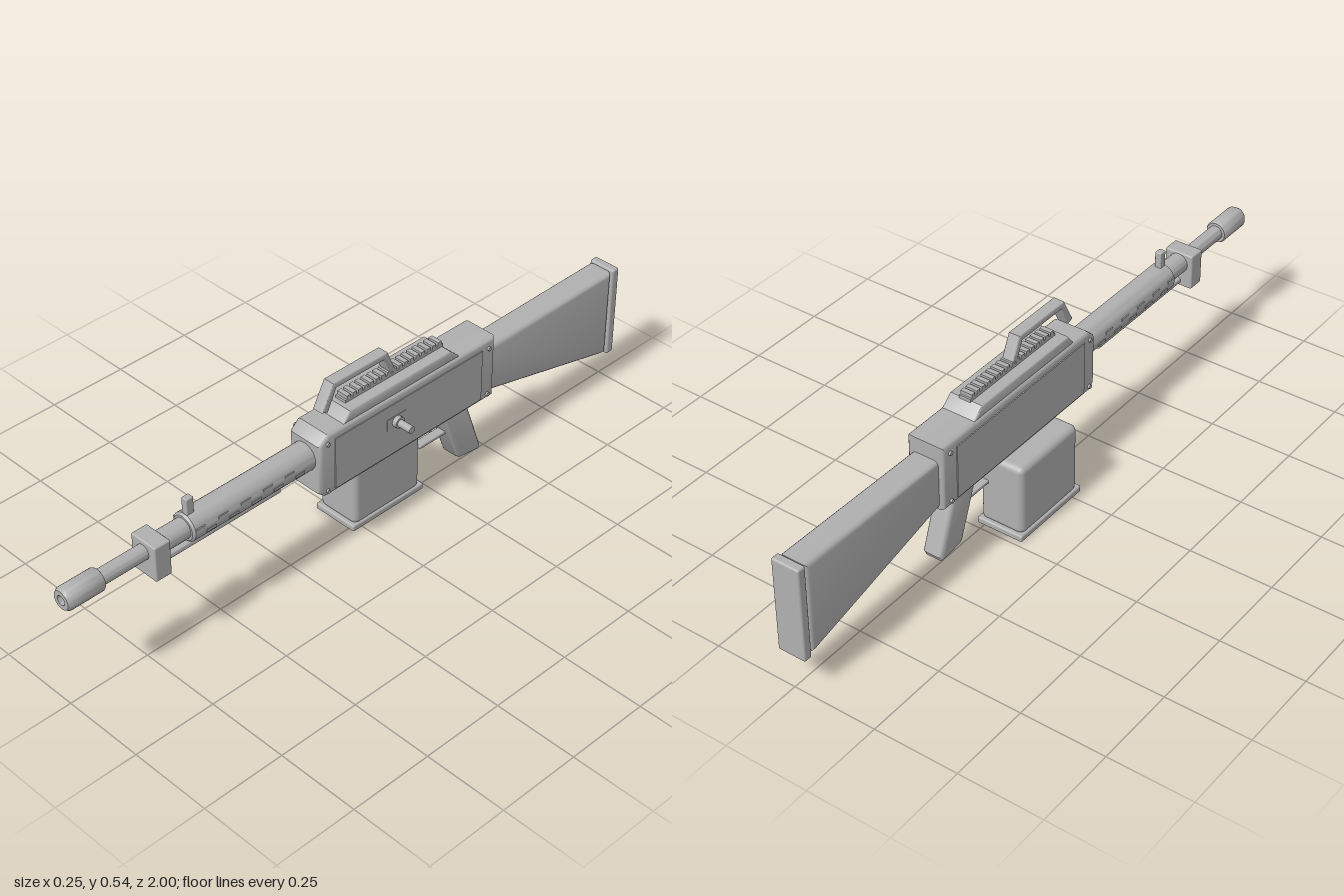
import * as THREE from 'three';
import { toCreasedNormals } from 'three/addons/utils/BufferGeometryUtils.js';
import { RoundedBoxGeometry } from 'three/addons/geometries/RoundedBoxGeometry.js';

const CX = 0.003; // x of the centre line
const AXIS = 0.342; // height of the barrel axis

export function createModel() {
  const model = new THREE.Group();
  model.name = 'model';
  const grey = new THREE.MeshStandardMaterial({ color: 0xb0b0b0 });
  grey.name = 'grey';

  const add = (name, geometry) => {
    const mesh = new THREE.Mesh(geometry, grey);
    mesh.name = name;
    model.add(mesh);
    return mesh;
  };

  // Box given by its limits, with optionally rounded edges
  const box = (name, [x0, x1], [y0, y1], [z0, z1], r = 0) => {
    const s = [x1 - x0, y1 - y0, z1 - z0];
    const g = r ? new RoundedBoxGeometry(...s, 3, r) : new THREE.BoxGeometry(...s);
    return add(name, g.translate((x0 + x1) / 2, (y0 + y1) / 2, (z0 + z1) / 2));
  };

  // Side outline of [z, y] points, extruded across x with bevelled edges
  const side = (name, points, width, bevel, x = CX) => {
    const shape = new THREE.Shape(points.map(p => new THREE.Vector2(...p)));
    const depth = width - 2 * bevel;
    const g = new THREE.ExtrudeGeometry(shape, {
      depth, bevelEnabled: bevel > 0, bevelSize: bevel, bevelThickness: bevel,
      bevelOffset: -bevel, bevelSegments: 3,
    });
    g.translate(0, 0, -depth / 2).rotateY(-Math.PI / 2).translate(x, 0, 0);
    return add(name, toCreasedNormals(g, 0.6));
  };

  // Turned part along z from [radius, z] points
  const turned = (name, points, y = AXIS) => {
    const g = new THREE.LatheGeometry(points.map(p => new THREE.Vector2(...p)), 32);
    return add(name, toCreasedNormals(g.rotateX(Math.PI / 2).translate(CX, y, 0), 0.6));
  };

  // Cylinder along x
  const pin = (name, r, x0, x1, y, z) => add(name, new THREE.CylinderGeometry(r, r, x1 - x0, 16)
    .rotateZ(Math.PI / 2).translate((x0 + x1) / 2, y, z));

  // Receiver with side plates and rivets
  side('receiver', [[0.165, 0.422], [-0.466, 0.422], [-0.466, 0.224], [0.175, 0.224],
    [0.195, 0.242], [0.195, 0.395]], 0.116, 0.013);
  for (const s of [-1, 1]) {
    const x = CX + s * 0.058;
    box('sidePlate', [x - 0.003, x + 0.003], [0.238, 0.4], [-0.412, 0.142]);
    for (const z of [0.168, -0.438]) for (const y of [0.243, 0.395])
      pin('rivet', 0.006, x - 0.006, x + 0.006, y, z);
  }

  // Charging knob on the left side
  box('knobPlate', [0.055, 0.066], [0.324, 0.36], [-0.116, -0.046]);
  pin('knobBase', 0.017, 0.06, 0.08, AXIS, -0.08);
  pin('knob', 0.011, 0.07, 0.123, AXIS, -0.08);

  // Top cover with toothed rail
  side('topCover', [[0.105, 0.42], [0.08, 0.452], [-0.295, 0.452], [-0.33, 0.42]], 0.104, 0.006);
  box('rail', [CX - 0.018, CX + 0.018], [0.45, 0.46], [-0.3, 0.065]);
  for (let i = 0; i < 17; i++) {
    const z = 0.052 - i * 0.0212;
    box('railTooth', [CX - 0.018, CX + 0.018], [0.458, 0.471], [z - 0.007, z + 0.007]);
  }

  // Bent carrying handle
  side('carryHandle', [[0.147, 0.46], [0.107, 0.535], [-0.09, 0.535], [-0.12, 0.468],
    [-0.101, 0.46], [-0.077, 0.516], [0.095, 0.516], [0.126, 0.453]], 0.036, 0.004);

  // Handguard, barrel and muzzle
  turned('handguard', [[0, 0.612], [0.036, 0.612], [0.042, 0.606], [0.042, 0.18], [0, 0.18]].reverse());
  turned('barrelCollar', [[0, 0.6], [0.03, 0.6], [0.03, 0.7], [0, 0.7]]);
  turned('barrel', [[0, 0.69], [0.022, 0.69], [0.022, 0.9], [0, 0.9]]);
  turned('muzzle', [[0, 0.885], [0.03, 0.885], [0.033, 0.89], [0.033, 0.99],
    [0.027, 1], [0.014, 1], [0.014, 0.97], [0, 0.97]]);

  // Cooling slots in two staggered rows on each side of the handguard
  for (const s of [-1, 1]) for (let row = 0; row < 2; row++) for (let i = 0; i < 5; i++) {
    const z = 0.25 + i * 0.076 + row * 0.036;
    const y = AXIS + (row ? 0.009 : -0.009);
    const x = CX + s * 0.041;
    box('handguardSlot', [x - 0.002, x + 0.002], [y - 0.004, y + 0.004], [z - 0.016, z + 0.016]);
  }

  // Gas block, gas tube and front sight
  box('gasBlock', [CX - 0.045, CX + 0.045], [0.268, 0.376], [0.69, 0.742], 0.005);
  turned('gasTube', [[0, 0.29], [0.01, 0.29], [0.01, 0.7], [0, 0.7]], 0.284);
  box('frontSight', [CX - 0.01, CX + 0.01], [0.37, 0.431], [0.581, 0.605], 0.003);

  // Stock and butt plate
  side('stock', [[-0.45, 0.376], [-0.97, 0.384], [-0.97, 0.108], [-0.955, 0.108],
    [-0.45, 0.232]], 0.084, 0.014);
  box('buttPlate', [CX - 0.043, CX + 0.043], [0.1, 0.389], [-1, -0.973], 0.006);

  // Magazine box, hung towards the right
  box('magazine', [-0.12, 0.017], [0.012, 0.23], [-0.225, 0.026], 0.018);
  box('magazineBase', [-0.125, 0.021], [0, 0.02], [-0.235, 0.036], 0.005);

  // Grip, trigger and trigger guard
  side('grip', [[-0.29, 0.235], [-0.385, 0.235], [-0.452, 0.045], [-0.445, 0.03],
    [-0.37, 0.04], [-0.358, 0.05]], 0.064, 0.012);
  const triggerPath = new THREE.QuadraticBezierCurve3(new THREE.Vector3(CX, 0.232, -0.255),
    new THREE.Vector3(CX, 0.195, -0.255), new THREE.Vector3(CX, 0.17, -0.275));
  add('trigger', new THREE.TubeGeometry(triggerPath, 10, 0.006, 8));
  box('triggerGuard', [CX - 0.014, CX + 0.014], [0.14, 0.151], [-0.33, -0.222], 0.003);

  return model;
}
